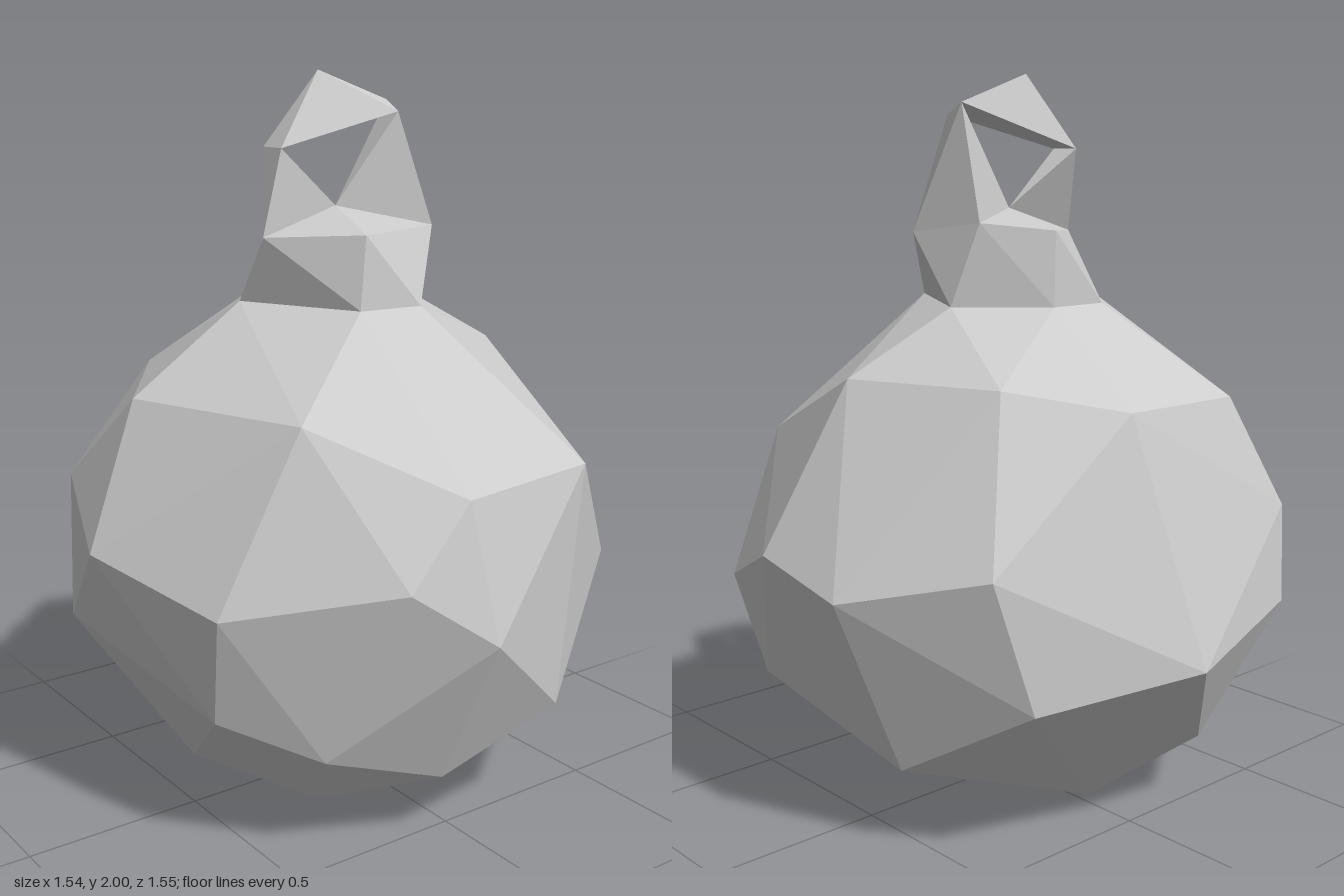
import * as THREE from 'three';
import { ConvexGeometry } from 'three/addons/geometries/ConvexGeometry.js';

export function createModel() {
  const group = new THREE.Group();
  const grey = new THREE.MeshStandardMaterial({ color: 0xcccccc });
  grey.name = 'light grey';

  // Faceted solid spanning rings of [x, y, z] points
  const facet = (name, ...rings) => {
    const points = rings.flat().map(p => new THREE.Vector3(...p));
    const mesh = new THREE.Mesh(new ConvexGeometry(points), grey);
    mesh.name = name;
    group.add(mesh);
  };

  // Ring shared by the ball and the cap
  const collar = [[-0.11, -0.265], [0.07, -0.265], [0.27, -0.08], [0.075, 0.27], [-0.11, 0.25], [-0.27, -0.085]]
    .map(([x, z]) => [x, 1.39, z]);

  // Irregular ball, from the shoulder ring down to the underside
  const shoulder = [
    [0.55, 1.22, 0], [0.39, 1.22, -0.41], [0.13, 1.16, -0.605], [-0.29, 1.15, -0.57],
    [-0.6, 1.16, -0.095], [-0.42, 1.16, 0.425], [-0.115, 0.99, 0.705], [0.365, 0.985, 0.615],
  ];
  const waist = [
    [0.77, 0.775, 0.08], [0.76, 0.71, -0.21], [0.55, 0.8, -0.56], [-0.415, 0.85, -0.66],
    [-0.64, 0.89, -0.41], [-0.775, 0.78, -0.03], [-0.66, 0.705, 0.41], [-0.3, 0.785, 0.71],
    [-0.07, 0.62, 0.775], [0.655, 0.63, 0.415],
  ];
  const belly = [
    [0.58, 0.335, 0.375], [0.58, 0.235, -0.24], [0.45, 0.45, -0.6], [0.03, 0.51, -0.78],
    [-0.39, 0.59, -0.69], [-0.7, 0.51, -0.31], [-0.625, 0.4, 0.33], [-0.41, 0.3, 0.51], [0.26, 0.335, 0.645],
  ];
  const underside = [
    [0.23, 0, 0.11], [0.02, 0.035, -0.36], [-0.22, 0.2, -0.55], [-0.45, 0.26, -0.43],
    [-0.44, 0.085, -0.1], [-0.29, 0.075, 0.305], [-0.08, 0.19, 0.575],
  ];
  facet('ball', collar, shoulder, waist, belly, underside);

  // Cap on top of the ball
  const left = [0.25, 1.58, 0.1], leftBack = [0.22, 1.61, -0.14];
  const right = [-0.26, 1.57, 0.02], peak = [-0.01, 1.64, 0];
  facet('cap', collar, [left, leftBack, [0.06, 1.59, -0.26], right, [-0.085, 1.585, 0.24], peak]);

  // Hanging loop: two legs and an arch around the opening
  const rightTop = [[-0.2, 1.8, 0.02], [-0.19, 1.8, -0.08]];
  const leftTop = [[0.15, 1.89, 0.07], [0.19, 1.92, -0.035]];
  facet('loopRightLeg', [right, peak], rightTop);
  facet('loopLeftLeg', [left, leftBack, peak], leftTop);
  facet('loopArch', rightTop, leftTop, [[-0.05, 2, -0.025]]);

  return group;
}
